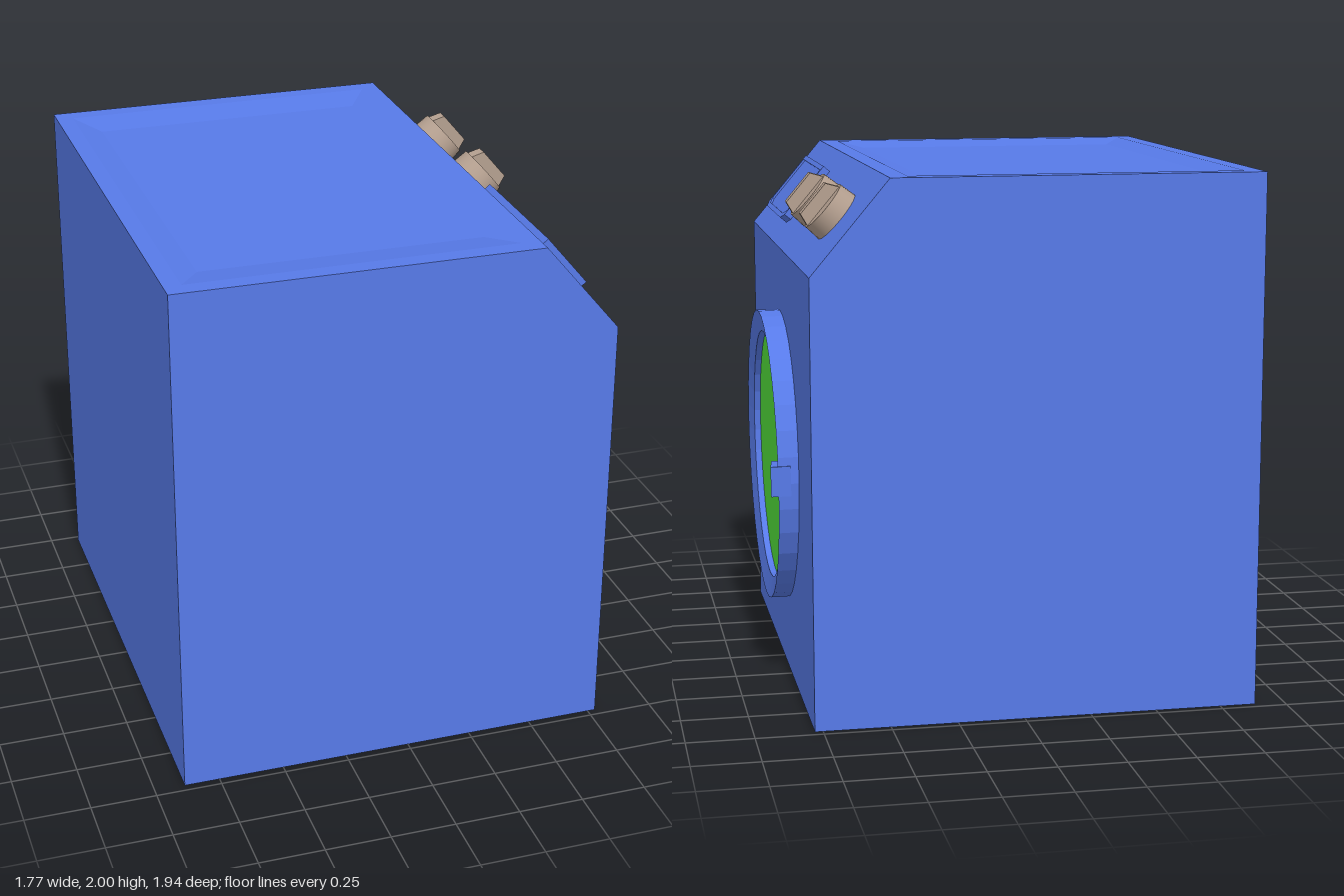
import * as THREE from 'three';

const blue = new THREE.MeshStandardMaterial({ color: 0x577ae8 });
const green = new THREE.MeshStandardMaterial({ color: 0x55e43c });
const taupe = new THREE.MeshStandardMaterial({ color: 0xb5a090 });

function add(parent, name, geometry, material) {
  const mesh = new THREE.Mesh(geometry, material);
  mesh.name = name;
  parent.add(mesh);
  return mesh;
}

// Flat-shaded geometry from convex faces (corners anticlockwise from outside)
function faceGeometry(faces) {
  const points = [];
  for (const f of faces) {
    for (let i = 1; i < f.length - 1; i++) points.push(...f[0], ...f[i], ...f[i + 1]);
  }
  const g = new THREE.BufferGeometry();
  g.setAttribute('position', new THREE.Float32BufferAttribute(points, 3));
  g.computeVertexNormals();
  return g;
}

// Corners of a level rectangle, anticlockwise seen from above
const rect = (x0, x1, z, y) => [[x0, y, z], [x1, y, z], [x1, y, -z], [x0, y, -z]];

const vectors = (points) => points.map(([x, y]) => new THREE.Vector2(x, y));

function extrude(points, depth, hole) {
  const shape = new THREE.Shape(vectors(points));
  if (hole) shape.holes.push(new THREE.Path(vectors(hole)));
  return new THREE.ExtrudeGeometry(shape, { depth, bevelEnabled: false });
}

function cabinetGeometry() {
  const W = 0.97;
  // anticlockwise outline seen from +z
  const profile = [[0.49, 2], [-0.885, 2], [-0.885, 0], [0.78, 0], [0.78, 1.655]];
  const at = (i, z) => [...profile[i % 5], z];
  // side walls
  const left = profile.map((_, i) => at(i, W));
  const right = profile.map((_, i) => at(i, -W)).reverse();
  const faces = [left, right];
  // back, bottom, front and sloping panel
  for (let i = 1; i < 5; i++) faces.push([at(i, W), at(i, -W), at(i + 1, -W), at(i + 1, W)]);
  // top with a shallow dished recess
  const rings = [rect(-0.885, 0.49, W, 2), rect(-0.82, 0.42, 0.9, 2), rect(-0.73, 0.33, 0.76, 1.98)];
  for (let r = 0; r < 2; r++) {
    const o = rings[r], n = rings[r + 1];
    for (let i = 0; i < 4; i++) {
      const j = (i + 1) % 4;
      faces.push([o[i], o[j], n[j], n[i]]);
    }
  }
  faces.push(rings[2]);
  return faceGeometry(faces);
}

function createDoor() {
  const door = new THREE.Group();
  door.name = 'door';
  door.position.set(0.78, 0.837, -0.013);
  door.rotation.z = -0.012;
  // ring: outer wall, inward sloping face, inner wall
  const profile = [[0.57, -0.02], [0.57, 0.077], [0.487, 0.06], [0.487, 0.01]];
  const ring = new THREE.LatheGeometry(vectors(profile), 36);
  ring.rotateZ(-Math.PI / 2);
  const ringBlue = blue.clone();
  ringBlue.flatShading = true;
  ringBlue.side = THREE.DoubleSide;
  add(door, 'doorRing', ring, ringBlue);

  const glass = new THREE.CircleGeometry(0.49, 36);
  glass.rotateY(Math.PI / 2);
  add(door, 'doorGlass', glass, green).position.x = 0.035;

  // wedge handle, thicker and wider at the outer end
  const handle = new THREE.BoxGeometry(0.06, 0.1, 0.16);
  const p = handle.attributes.position;
  for (let i = 0; i < p.count; i++) {
    const outer = p.getZ(i) < 0;
    p.setY(i, p.getY(i) * (outer ? 1.14 : 0.92));
    if (p.getX(i) > 0) p.setX(i, outer ? 0.045 : 0.025);
  }
  handle.computeVertexNormals();
  add(door, 'doorHandle', handle, blue).position.set(0.06, 0.01, -0.49);
  return door;
}

function createKnob() {
  const knob = new THREE.Group();
  knob.name = 'knob';
  const dial = new THREE.CylinderGeometry(0.1, 0.104, 0.066, 28);
  dial.translate(0, 0.033, 0);
  add(knob, 'knobDial', dial, taupe);
  const grip = extrude([[-0.092, 0.06], [0.094, 0.06], [0.075, 0.113], [-0.068, 0.113]], 0.05);
  grip.translate(0, 0, -0.025);
  add(knob, 'knobGrip', grip, taupe);
  return knob;
}

export function createModel() {
  const model = new THREE.Group();
  model.name = 'washingMachine';
  add(model, 'cabinet', cabinetGeometry(), blue);
  model.add(createDoor());

  // control panel frame: x runs down the slope, y points out of it
  const panel = new THREE.Group();
  panel.name = 'controlPanel';
  panel.position.set(0.49, 2, 0);
  panel.rotation.z = Math.atan2(-0.345, 0.29);
  for (const z of [-0.157, -0.612]) {
    const knob = createKnob();
    knob.position.set(0.221, 0, z);
    panel.add(knob);
  }

  // raised plate with clipped lower corners and a thin rim
  const outline = (inset) => {
    const x0 = 0.092 + inset, x1 = 0.36 - inset, y0 = -0.778 + inset, y1 = -0.195 - inset;
    return [[x0, y0], [x1 - 0.021, y0], [x1, y0 + 0.045], [x1, y1 - 0.045], [x1 - 0.021, y1], [x0, y1]];
  };
  const plate = extrude(outline(0), 0.024);
  const rim = extrude(outline(0), 0.032, outline(0.02));
  plate.rotateX(-Math.PI / 2);
  rim.rotateX(-Math.PI / 2);
  // plate outline is drawn with -z as its second axis, so both sit at z = 0.195 to 0.778
  add(panel, 'drawerPlate', plate, blue);
  add(panel, 'drawerRim', rim, blue);
  model.add(panel);
  return model;
}
